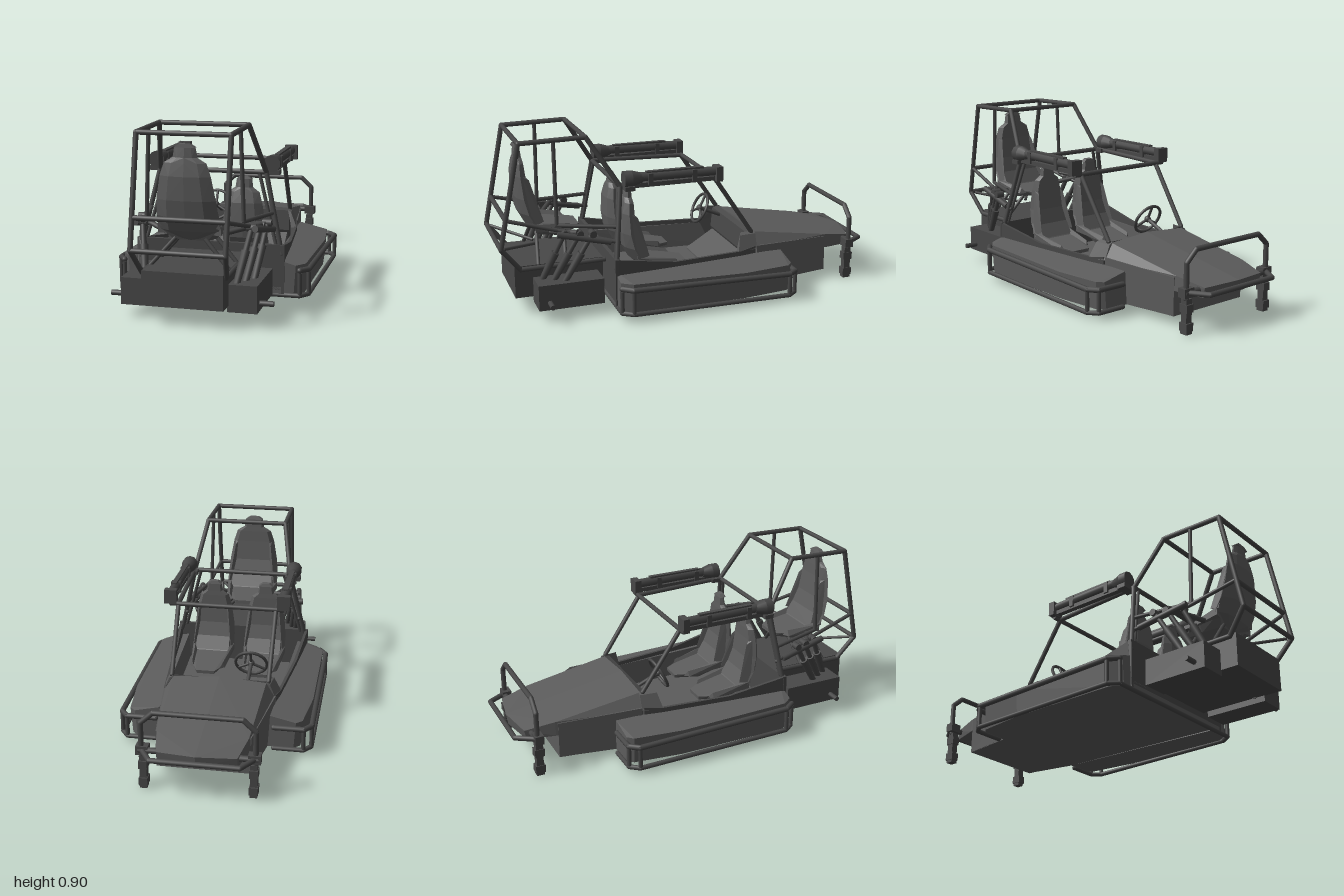
import * as THREE from 'three';
import { ConvexGeometry } from 'three/addons/geometries/ConvexGeometry.js';

const flat = new THREE.MeshStandardMaterial({ color: 0x5c5c5c, flatShading: true, side: THREE.DoubleSide });
const smooth = new THREE.MeshStandardMaterial({ color: 0x464646 });
const dark = new THREE.MeshStandardMaterial({ color: 0x484848, flatShading: true });
const V = (p) => new THREE.Vector3(...p);
const flip = (p, s) => [p[0] * s, p[1], p[2]];

export function createModel() {
  const model = new THREE.Group();

  function add(name, geo, mat = flat, parent = model) {
    const m = new THREE.Mesh(geo, mat);
    m.name = name;
    parent.add(m);
    return m;
  }
  // faceted solid around a few corners
  const solid = (name, pts, parent, mat) => add(name, new ConvexGeometry(pts.map(V)), mat, parent);
  // solid symmetric about x = 0
  const symSolid = (name, pts, parent, mat) => solid(name, pts.flatMap((p) => [p, flip(p, -1)]), parent, mat);
  const box = (name, w, h, d, x, y, z) => {
    const m = add(name, new THREE.BoxGeometry(w, h, d), dark);
    m.position.set(x, y, z);
  };
  // straight round bar between two points
  function rod(name, a, b, r = 0.012, r2 = r, parent = model) {
    const A = V(a), B = V(b), dir = B.clone().sub(A);
    const m = add(name, new THREE.CylinderGeometry(r2, r, dir.length(), 10), smooth, parent);
    m.position.copy(A).add(B).multiplyScalar(0.5);
    m.quaternion.setFromUnitVectors(new THREE.Vector3(0, 1, 0), dir.normalize());
  }
  // bent pipe: bars with round joints
  function pipe(name, pts, r = 0.012) {
    const g = new THREE.Group();
    g.name = name;
    model.add(g);
    pts.forEach((p, i) => {
      add(name + 'Joint', new THREE.SphereGeometry(r, 10, 6), smooth, g).position.set(...p);
      if (i) rod(name + 'Bar', pts[i - 1], p, r, r, g);
    });
  }
  const pair = (fn) => [1, -1].forEach(fn);
  const cross = (name, x, y, z, r) => rod(name, [-x, y, z], [x, y, z], r);

  // ---- tub and nose ----
  symSolid('floorPan', [
    [0.36, 0.045, 0.455], [0.36, 0.085, 0.455], [0.27, 0.04, -0.48], [0.27, 0.08, -0.48],
    [0.228, 0.045, -0.765], [0.228, 0.08, -0.765]]);
  symSolid('rearWall', [
    [0.375, 0.07, 0.455], [0.375, 0.295, 0.455], [0.36, 0.07, 0.435], [0.375, 0.295, 0.435]], model, dark);
  // side walls: stations of [z, outer x, top y]
  const stations = [[0.455, 0.375, 0.295], [0.13, 0.345, 0.238], [-0.24, 0.305, 0.235], [-0.33, 0.29, 0.25]];
  pair((s) => {
    for (let i = 1; i < stations.length; i++) {
      const pts = [stations[i - 1], stations[i]].flatMap(([z, x, y]) =>
        [[x, y, z], [x - 0.015, y, z], [x - 0.015, 0.05, z], [x, 0.05, z]]);
      solid('tubWall', pts.map((p) => flip(p, s)), model, dark);
    }
    // cowl cheek beside the dashboard
    solid('cowlCheek', [[0.29, 0.235, -0.34], [0.26, 0.31, -0.34], [0.305, 0.23, -0.23], [0.27, 0.31, -0.25],
      [0.24, 0.32, -0.34], [0.25, 0.32, -0.26], [0.275, 0.23, -0.23]].map((p) => flip(p, s)));
  });
  symSolid('noseBody', [
    [0.29, 0.045, -0.34], [0.29, 0.25, -0.34], [0.23, 0.045, -0.768], [0.23, 0.235, -0.768]]);
  symSolid('hood', [
    [0, 0.332, -0.33], [0.24, 0.315, -0.33], [0.29, 0.24, -0.33],
    [0, 0.255, -0.78], [0.222, 0.243, -0.78], [0.228, 0.17, -0.78],
    [0, 0.225, -0.965], [0.19, 0.215, -0.93], [0.19, 0.165, -0.92], [0, 0.165, -0.955]]);
  symSolid('dashboard', [
    [0.25, 0.32, -0.33], [0.25, 0.31, -0.3], [0.25, 0.08, -0.34], [0.25, 0.2, -0.29]], model, dark);
  symSolid('footRamp', [[0.24, 0.2, -0.32], [0.24, 0.07, -0.32], [0.24, 0.07, -0.14], [0.24, 0.09, -0.14]]);

  // ---- side pods with their guard bars ----
  pair((s) => {
    const outline = [[0.32, 0.45], [0.43, 0.445], [0.47, 0.39], [0.47, -0.2], [0.44, -0.45], [0.41, -0.48], [0.28, -0.48]];
    solid('sidePod', outline.flatMap(([x, z]) => {
      const top = 0.195 - (z < 0 ? 0.015 : 0) + (x < 0.35 ? 0.03 : 0);
      return [flip([x, top, z], s), flip([x - 0.01, 0.04, z], s)];
    }));
    pipe('lowerGuardRail', [[0.34, 0.045, 0.445], [0.45, 0.045, 0.445], [0.486, 0.045, 0.395],
      [0.486, 0.035, -0.44], [0.45, 0.035, -0.485], [0.3, 0.035, -0.485]].map((p) => flip(p, s)));
    pipe('upperGuardRail', [[0.45, 0.172, 0.445], [0.486, 0.17, 0.395],
      [0.486, 0.15, -0.44], [0.45, 0.15, -0.485], [0.3, 0.15, -0.485]].map((p) => flip(p, s)), 0.014);
    [[0.45, 0.445], [0.486, 0.395], [0.486, -0.44], [0.45, -0.485]].forEach(([x, z]) =>
      rod('guardPost', [s * x, 0.042, z], [s * x, 0.16, z], 0.011));
  });
  cross('rearGuardRail', 0.45, 0.045, 0.445);

  // ---- rear engine deck ----
  box('engineBox', 0.385, 0.165, 0.45, 0, 0.172, 0.695);
  pair((s) => {
    box('sideTank', 0.14, 0.13, 0.33, s * 0.257, 0.125, 0.665);
    rod('axleStub', [s * 0.18, 0.097, 0.775], [s * 0.393, 0.097, 0.775], 0.013);
    // fanned spring legs: wide lower sleeve, thin upper rod
    [[0.22, 0.79, 0.265, 0.68], [0.25, 0.74, 0.29, 0.61], [0.28, 0.69, 0.31, 0.55]].forEach(([x0, z0, x1, z1]) => {
      const a = [s * x0, 0.18, z0], b = [s * x1, 0.425, z1];
      const mid = a.map((v, i) => v + (b[i] - v) * 0.6);
      rod('springSleeve', a, mid, 0.016, 0.021);
      rod('springRod', mid, b, 0.013);
      rod('springPin', [b[0] - 0.022, b[1], z1], [b[0] + 0.022, b[1], z1], 0.018);
    });
    rod('springArm', [s * 0.29, 0.43, 0.72], [s * 0.32, 0.375, 0.46], 0.016);
    rod('springLink', [s * 0.14, 0.4, 0.72], [s * 0.3, 0.435, 0.62], 0.013);
  });

  // ---- seats, facing -z; origin at the bottom of the back ----
  function seat(name, x, y, z, sx, sy, sz, lean) {
    const g = new THREE.Group();
    g.name = name;
    // back: [y, half width, rear z, front z]
    const back = [[0, 0.06, -0.1, -0.17], [0.05, 0.15, -0.05, -0.13], [0.12, 0.148, -0.012, -0.09],
      [0.2, 0.14, 0.004, -0.065], [0.31, 0.12, 0.008, -0.05], [0.37, 0.1, 0.0, -0.045],
      [0.395, 0.058, -0.004, -0.042], [0.44, 0.05, -0.008, -0.037]];
    for (let i = 1; i < back.length; i++)
      symSolid('seatBack', [back[i - 1], back[i]].flatMap(([h, w, r, f]) =>
        [[0, h, r], [w * 0.6, h, r - 0.006], [w, h, (r + f) / 2], [w * 0.8, h, f], [0, h, f + 0.005]]), g);
    symSolid('headrest', [[0.05, 0.44, -0.008], [0.05, 0.44, -0.037], [0.025, 0.457, -0.01], [0.025, 0.457, -0.032]], g);
    // cushion and its raised edges
    symSolid('seatCushion', [[0.08, 0.0, -0.1], [0.13, 0.05, -0.08], [0.1, -0.01, -0.2], [0.125, 0.035, -0.2],
      [0.06, 0.01, -0.32], [0.095, 0.03, -0.28], [0.065, 0.03, -0.32]], g);
    pair((s) => {
      solid('cushionBolster', [[0.1, 0.03, -0.09], [0.15, 0.03, -0.08], [0.13, 0.075, -0.09], [0.15, 0.07, -0.08],
        [0.09, 0.02, -0.28], [0.125, 0.02, -0.26], [0.11, 0.05, -0.26]].map((p) => flip(p, s)), g);
      solid('backBolster', [[0.105, 0.07, -0.07], [0.15, 0.06, -0.07], [0.135, 0.08, -0.125], [0.11, 0.31, -0.03],
        [0.09, 0.31, -0.045], [0.105, 0.29, -0.065]].map((p) => flip(p, s)), g);
    });
    g.position.set(x, y, z);
    g.scale.set(sx, sy, sz);
    g.rotation.x = lean;
    model.add(g);
  }
  seat('rearSeat', 0, 0.375, 0.877, 1, 1, 1, 0);
  pair((s) => seat('frontSeat', s * 0.145, 0.19, 0.385, 0.78, 0.92, 1.12, -0.08));
  [0.66, 0.8].forEach((z) => pair((s) => rod('seatStrut', [s * 0.19, 0.25, z], [s * 0.07, 0.385, z - 0.02], 0.01)));

  // ---- steering wheel ----
  const wheel = new THREE.Group();
  wheel.name = 'steeringWheel';
  add('wheelRim', new THREE.TorusGeometry(0.082, 0.008, 8, 24), smooth, wheel);
  add('wheelHub', new THREE.SphereGeometry(0.018, 10, 8), smooth, wheel);
  for (let i = 0; i < 3; i++) {
    const a = Math.PI / 2 + i * Math.PI * 2 / 3;
    rod('wheelSpoke', [0, 0, 0], [0.08 * Math.cos(a), 0.08 * Math.sin(a), 0], 0.007, 0.007, wheel);
  }
  wheel.position.set(-0.14, 0.35, -0.18);
  wheel.rotation.x = -0.45;
  model.add(wheel);
  rod('steeringColumn', [-0.14, 0.35, -0.18], [-0.14, 0.29, -0.32], 0.01);

  // ---- roll cage ----
  pair((s) => {
    const p = (name, pts, r) => pipe(name, pts.map((q) => flip(q, s)), r);
    p('rearCageSide', [[0.19, 0.24, 0.46], [0.2, 0.24, 0.89], [0.22, 0.36, 0.985], [0.22, 0.88, 0.88],
      [0.22, 0.887, 0.55], [0.27, 0.64, 0.395], [0.36, 0.25, 0.445]], 0.0125);
    p('frontCageSide', [[0.27, 0.64, 0.395], [0.255, 0.63, -0.11], [0.25, 0.32, -0.32]]);
    p('cageUpright', [[0.22, 0.88, 0.71], [0.235, 0.46, 0.71], [0.31, 0.445, 0.42]], 0.01);
    p('cageBrace', [[0.22, 0.505, 0.955], [0.25, 0.44, 0.71], [0.325, 0.37, 0.42]], 0.01);
    p('hoopBrace', [[0.235, 0.64, 0.395], [0.33, 0.29, 0.44]], 0.009);
  });
  [[0.22, 0.88, 0.88], [0.22, 0.887, 0.55], [0.22, 0.505, 0.955], [0.22, 0.36, 0.985],
    [0.27, 0.64, 0.395], [0.3, 0.63, -0.115]].forEach(([x, y, z]) => cross('cageCrossbar', x, y, z));
  pair((s) => rod('lowerBrace', [s * 0.2, 0.355, 0.97], [s * 0.03, 0.31, 0.78], 0.008));

  // ---- tubes carried on the roof rails ----
  pair((s) => {
    const x = s * 0.295;
    rod('sideTube', [x, 0.685, 0.37], [x, 0.68, -0.12], 0.024);
    rod('tubeEnd', [x, 0.68, 0.385], [x, 0.68, 0.345], 0.042);
    rod('tubeCone', [x, 0.68, 0.345], [x, 0.68, 0.29], 0.042, 0.025);
    box('tubeHead', 0.065, 0.075, 0.035, x, 0.668, -0.11);
    box('tubeRail', 0.03, 0.022, 0.46, x, 0.645, 0.14);
    box('tubeFoot', 0.085, 0.022, 0.05, x - s * 0.005, 0.637, 0.36);
    box('tubeTopRail', 0.025, 0.012, 0.3, x, 0.705, 0.12);
    [0.25, 0.02].forEach((z) => box('tubeClamp', 0.05, 0.06, 0.025, x, 0.672, z));
  });

  // ---- nose bumper ----
  pipe('bumperHoop', [[-0.27, 0.17, -0.89], [-0.27, 0.34, -0.89], [-0.21, 0.395, -0.89],
    [0.21, 0.395, -0.89], [0.27, 0.34, -0.89], [0.27, 0.17, -0.89]], 0.013);
  pipe('bumperNose', [[-0.27, 0.2, -0.89], [-0.21, 0.2, -0.985], [0.21, 0.2, -0.985], [0.27, 0.2, -0.89]], 0.013);
  cross('bumperBar', 0.285, 0.2, -0.895, 0.015);
  pair((s) => {
    box('bumperBlock', 0.06, 0.045, 0.045, s * 0.265, 0.2, -0.885);
    box('bumperLeg', 0.035, 0.16, 0.035, s * 0.262, 0.09, -0.885);
    [0.035, 0.125].forEach((y) => box('bumperLegClamp', 0.042, 0.04, 0.05, s * 0.262, y, -0.885));
    box('bumperLegFoot', 0.035, 0.02, 0.04, s * 0.262, 0.01, -0.885);
  });

  return model;
}
